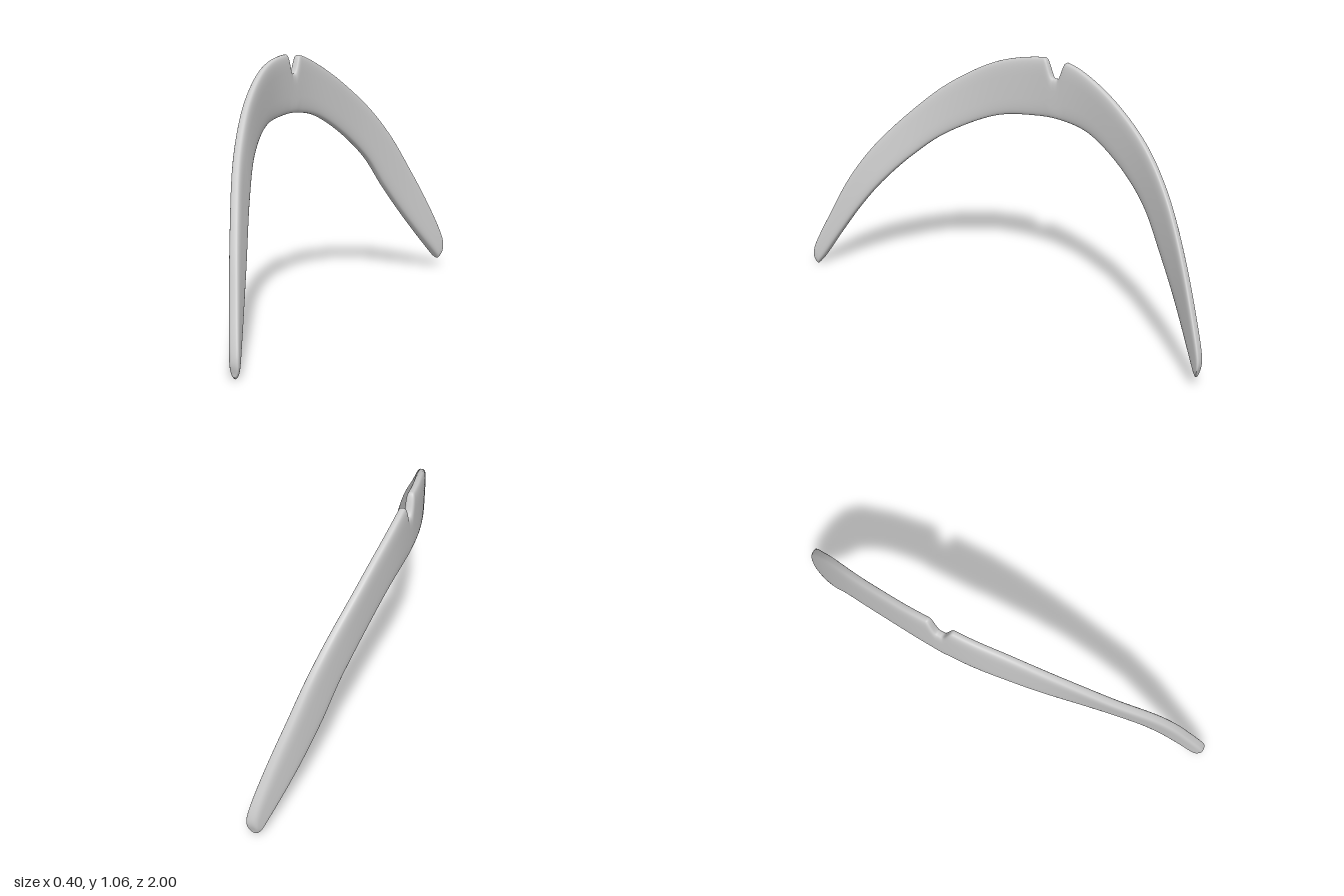
import * as THREE from 'three';

// Upper and lower edges of the crescent as matching [z, y] points, front tip to back tip
const UPPER = [[1, 0.01], [1, 0.085], [0.93, 0.25], [0.84, 0.435], [0.727, 0.6], [0.57, 0.765],
  [0.4, 0.905], [0.195, 1.015], [0, 1.06], [-0.15, 1.06], [-0.29, 1.015], [-0.45, 0.93],
  [-0.61, 0.81], [-0.74, 0.66], [-0.85, 0.47], [-0.94, 0.28], [-0.995, 0.13], [-0.985, 0.05]];
const LOWER = [[0.99, 0], [0.95, 0.055], [0.88, 0.165], [0.79, 0.3], [0.69, 0.43], [0.56, 0.563],
  [0.41, 0.68], [0.195, 0.78], [0, 0.81], [-0.15, 0.812], [-0.3, 0.783], [-0.47, 0.69],
  [-0.61, 0.57], [-0.715, 0.42], [-0.81, 0.285], [-0.89, 0.17], [-0.95, 0.085], [-0.98, 0.043]];
// Sideways bow, sampled evenly from z = 1 to z = -1
const BOW = [0.155, 0.06, -0.035, -0.11, -0.16, -0.183, -0.172, -0.128, -0.06, 0.043, 0.183];

const spline = (pts) => new THREE.CatmullRomCurve3(
  pts.map(([a, b]) => new THREE.Vector3(0, b, a)), false, 'catmullrom', 0.5);
const upper = spline(UPPER);
const lower = spline(LOWER);
const bowCurve = spline(BOW.map((x, i) => [i, x]));
const bow = (z) => bowCurve.getPoint(THREE.MathUtils.clamp((1 - z) / 2, 0, 1)).y;
const power = (v, p) => Math.sign(v) * Math.abs(v) ** p;

function crescentGeometry(rings = 408, sides = 36) {
  const pos = [], index = [];
  for (let i = 0; i <= rings; i++) {
    const u = i / rings;
    const top = upper.getPoint(u);
    const bottom = lower.getPoint(u);
    // Small rounded notch in the upper edge
    top.y -= 0.082 * (1 - THREE.MathUtils.smoothstep(Math.abs(top.z + 0.102), 0.01, 0.055));
    // Thickness closes at both tips
    const half = 0.02 * Math.sqrt(Math.max(0, 1 - Math.abs(2 * u - 1) ** 20));
    const lean = 0.045 * THREE.MathUtils.smoothstep(top.z, 0.1, 0.8)
      * Math.min(1, (top.y - bottom.y) / 0.2);
    for (let j = 0; j < sides; j++) {
      const a = (j / sides) * Math.PI * 2;
      const v = 0.5 + 0.5 * power(Math.cos(a), 0.5);
      const p = bottom.clone().lerp(top, v);
      const slope = (bow(p.z + 0.01) - bow(p.z - 0.01)) / 0.02;
      const x = bow(p.z) + lean * (0.5 - v)
        + half * Math.hypot(1, slope) * power(Math.sin(a), 0.55);
      pos.push(x, p.y, p.z);
      if (i < rings) {
        const k = (j + 1) % sides;
        const A = i * sides + j, B = i * sides + k, C = A + sides, D = B + sides;
        index.push(A, B, C, B, D, C);
      }
    }
  }
  const geo = new THREE.BufferGeometry();
  geo.setAttribute('position', new THREE.Float32BufferAttribute(pos, 3));
  geo.setIndex(index);
  geo.computeVertexNormals();
  return geo;
}

export function createModel() {
  const group = new THREE.Group();
  group.name = 'curvedCrescent';
  const blade = new THREE.Mesh(crescentGeometry(),
    new THREE.MeshStandardMaterial({ color: 0xcccccc }));
  blade.name = 'crescentBlade';
  group.add(blade);
  return group;
}
